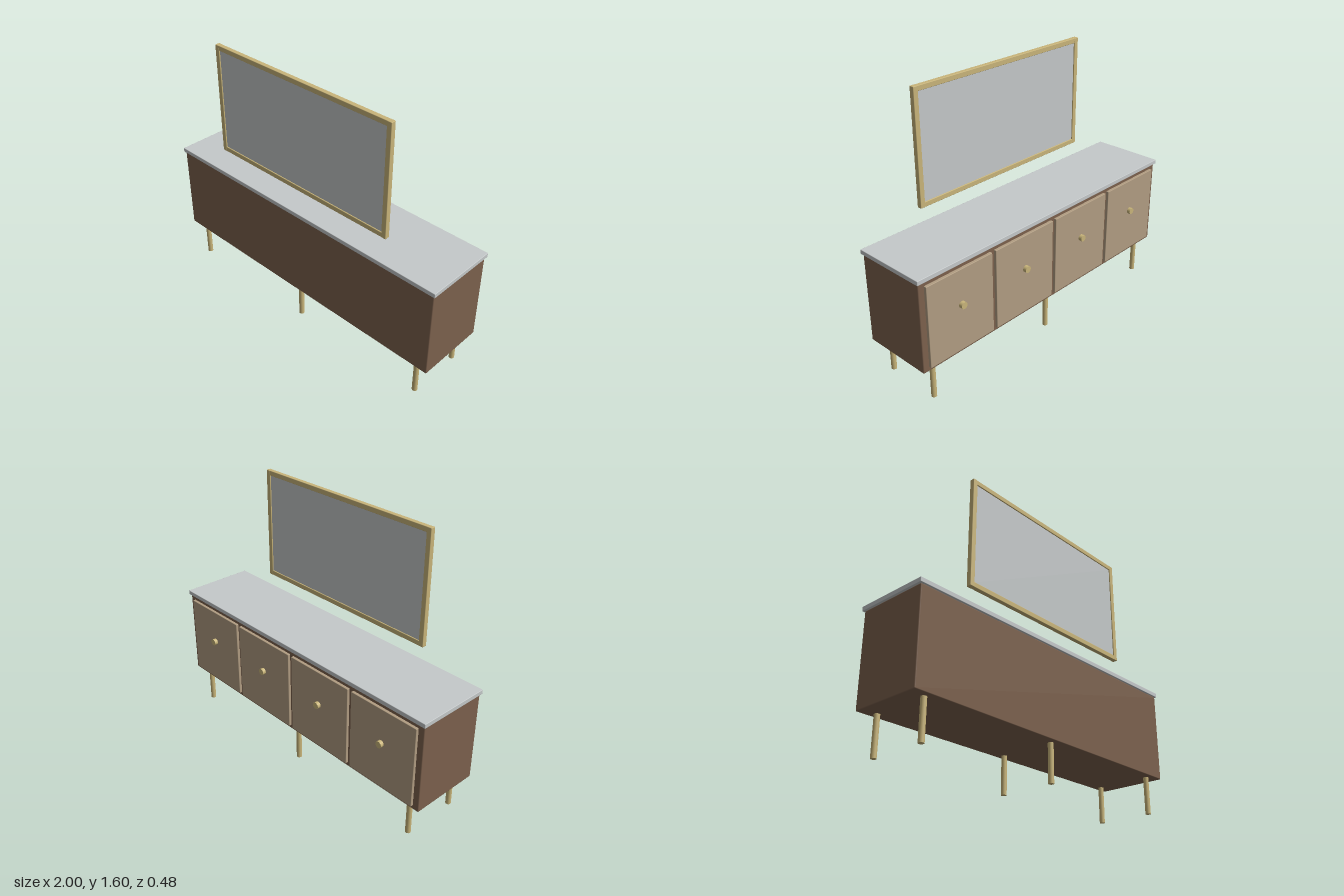
import * as THREE from 'three';
import { RoundedBoxGeometry } from 'three/addons/geometries/RoundedBoxGeometry.js';

const material = (name, color) => {
  const m = new THREE.MeshStandardMaterial({ color });
  m.name = name;
  return m;
};

export function createModel() {
  const group = new THREE.Group();
  const wood = material('walnut', 0x7c614d);
  const panel = material('light wood', 0xb19d82);
  const brass = material('brass', 0xc9b57a);
  const stone = material('stone', 0xc5c9ca);
  const glass = material('mirror glass', 0xc4c8c9);

  const add = (name, geometry, mat, x, y, z) => {
    const mesh = new THREE.Mesh(geometry, mat);
    mesh.name = name;
    mesh.position.set(x, y, z);
    group.add(mesh);
    return mesh;
  };
  // Softened box given by its limits
  const slab = (name, mat, [x0, x1], [y0, y1], [z0, z1], r) =>
    add(name, new RoundedBoxGeometry(x1 - x0, y1 - y0, z1 - z0, 2, r), mat,
      (x0 + x1) / 2, (y0 + y1) / 2, (z0 + z1) / 2);

  // Cabinet and countertop
  slab('cabinetBody', wood, [-0.99, 0.99], [0.225, 0.77], [-0.204, 0.232], 0.006);
  slab('countertop', stone, [-1, 1], [0.77, 0.797], [-0.215, 0.24], 0.003);

  // Four doors with round knobs on the back-facing side
  for (let i = 0; i < 4; i++) {
    const x = (i - 1.5) * 0.483;
    slab('door', panel, [x - 0.228, x + 0.228], [0.25, 0.745], [-0.221, -0.2], 0.003);
    const knob = add('knob', new THREE.CylinderGeometry(0.02, 0.02, 0.022, 24), brass, x, 0.535, -0.231);
    knob.rotation.x = Math.PI / 2;
  }

  // Six slim legs
  for (const x of [-0.895, 0, 0.895])
    for (const z of [-0.157, 0.186])
      add('leg', new THREE.CylinderGeometry(0.016, 0.016, 0.23, 24), brass, x, 0.115, z);

  // Floating mirror: stiles, rails and glass
  for (const s of [-1, 1]) {
    add('mirrorStile', new RoundedBoxGeometry(0.03, 0.68, 0.03, 2, 0.003), brass, s * 0.624, 1.26, 0.185);
    add('mirrorRail', new RoundedBoxGeometry(1.24, 0.03, 0.028, 2, 0.003), brass, 0, 1.26 + s * 0.325, 0.185);
  }
  add('mirrorGlass', new THREE.BoxGeometry(1.22, 0.624, 0.016), glass, 0, 1.26, 0.185);

  return group;
}
